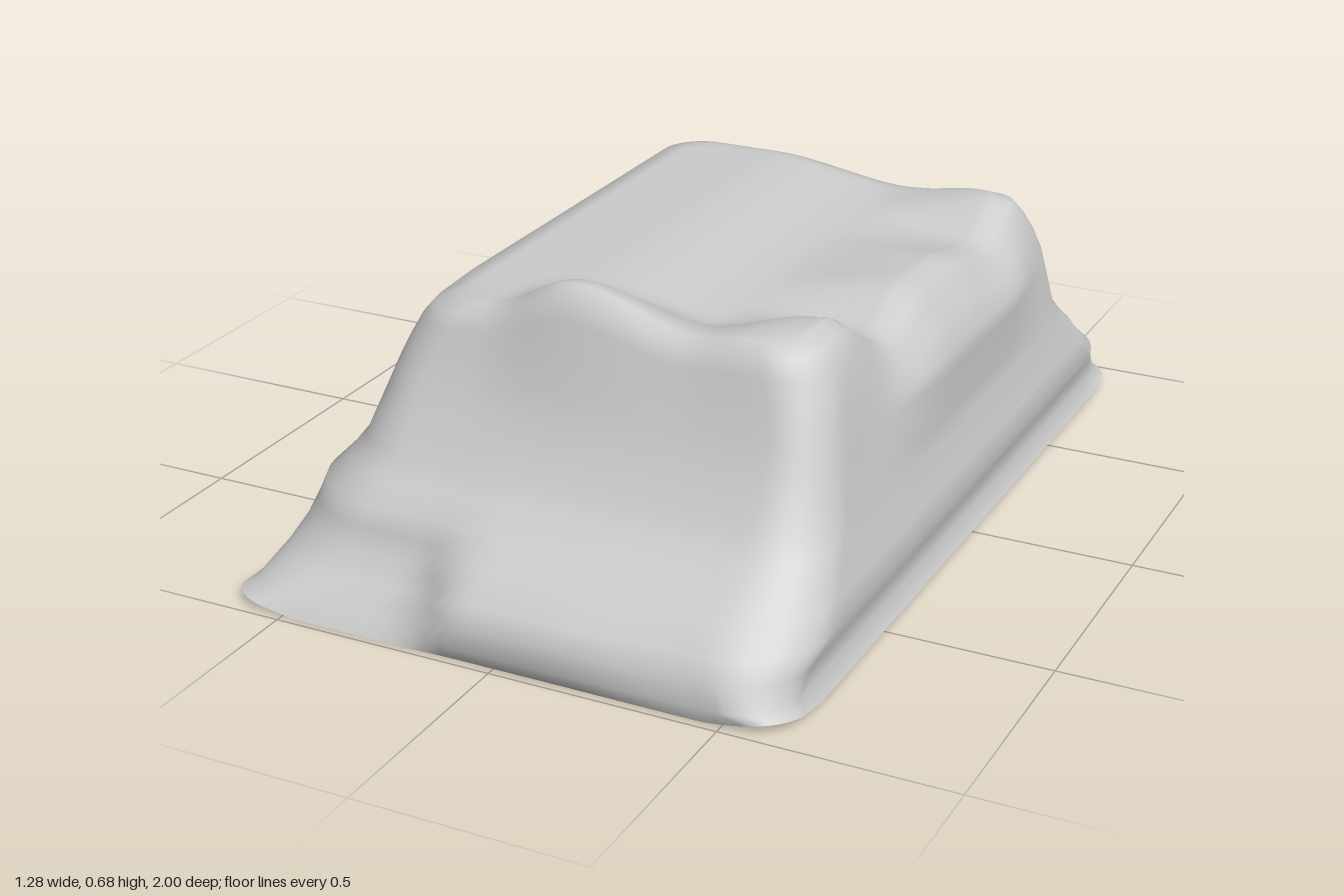
import * as THREE from 'three';

const { smoothstep, lerp } = THREE.MathUtils;

// Smooth height curve through [position, height] pairs
function curve(pairs) {
  return (p) => {
    if (p <= pairs[0][0]) return pairs[0][1];
    for (let i = 1; i < pairs.length; i++) {
      const [a, ha] = pairs[i - 1], [b, hb] = pairs[i];
      if (p <= b) return lerp(ha, hb, smoothstep(p, a, b));
    }
    return pairs[pairs.length - 1][1];
  };
}

// Top heights: plateau with a valley (by x), front edge (by x) and +x edge (by z)
const plateau = curve([[-0.12, 0.595], [0.23, 0.552]]);
const frontRim = curve([[-0.4, 0.585], [-0.22, 0.596], [-0.02, 0.678], [0.27, 0.61], [0.43, 0.638]]);
const sideRim = curve([[-0.64, 0.575], [-0.52, 0.59], [-0.35, 0.53], [-0.1, 0.573],
  [0.05, 0.577], [0.235, 0.53], [0.46, 0.637], [0.65, 0.62]]);

function topHeight(x, z) {
  const front = lerp(plateau(x), frontRim(x), smoothstep(z, 0.36, 0.585));
  return lerp(front, sideRim(z), smoothstep(x, 0.18, 0.47));
}

// Rounded rectangle as points running from +x towards +z; rL and rR round the -x and +x ends
function outline({ xL, xR, zF, zB, rL, rR }, arc = 10, side = 28) {
  const corners = [
    [xR - rR, zF - rR, rR], [-xL + rL, zF - rL, rL], [-xL + rL, -zB + rL, rL], [xR - rR, -zB + rR, rR],
  ];
  const pts = [];
  corners.forEach(([cx, cz, r], q) => {
    for (let i = 0; i <= arc; i++) {
      const a = (q + i / arc) * Math.PI / 2;
      pts.push([cx + r * Math.cos(a), cz + r * Math.sin(a)]);
    }
    const [x0, z0] = pts[pts.length - 1];
    const [nx, nz, nr] = corners[(q + 1) % 4];
    const a = (q + 1) * Math.PI / 2;
    for (let i = 1; i < side; i++) {
      pts.push([lerp(x0, nx + nr * Math.cos(a), i / side), lerp(z0, nz + nr * Math.sin(a), i / side)]);
    }
  });
  return pts;
}

// Wall sections: y, -x, +x, front, back, inset depth of the stepped ends, -x radius, +x radius
const sections = [
  [0, 0.64, 0.635, 0.98, 0.98, 0.985, 0.09, 0.09],
  [0.035, 0.618, 0.615, 1.0, 1.0, 0.96, 0.10, 0.12],
  [0.08, 0.598, 0.618, 0.995, 0.995, 0.905, 0.14, 0.15],
  [0.125, 0.583, 0.635, 0.98, 0.98, 0.865, 0.17, 0.19],
  [0.17, 0.573, 0.622, 0.915, 0.915, 0.85, 0.19, 0.19],
  [0.215, 0.561, 0.612, 0.85, 0.85, 0.835, 0.19, 0.17],
  [0.255, 0.525, 0.602, 0.795, 0.785, 0.785, 0.17, 0.15],
  [0.30, 0.49, 0.592, 0.75, 0.735, 0.74, 0.14, 0.14],
  [0.40, 0.457, 0.572, 0.695, 0.70, 0.70, 0.12, 0.12],
  [0.45, 0.441, 0.562, 0.672, 0.685, 0.68, 0.11, 0.11],
  [0.50, 0.425, 0.548, 0.65, 0.67, 0.66, 0.11, 0.11],
  [0.55, 0.403, 0.532, 0.632, 0.643, 0.64, 0.11, 0.11],
  [0.585, 0.375, 0.51, 0.617, 0.615, 0.62, 0.10, 0.10],
  [0.60, 0.33, 0.47, 0.588, 0.57, 0.58, 0.09, 0.09],
];

function wallRing([y, xL, xR, zF, zB, zStep, rL, rR]) {
  return outline({ xL, xR, zF, zB, rL, rR }).map(([x, z]) => {
    // The flange is stepped in at the -x end, bulges in the middle and eases towards +x
    const depth = z > 0 ? zF : zB;
    const inset = 1 - smoothstep(x, -0.25, -0.08) + 0.2 * smoothstep(x, 0.1, 0.45);
    const outZ = y < 0.28 ? z * lerp(1, zStep / depth, inset) : z;
    // Full shoulder along the +x wall, reaching further at the back
    const fade = z > 0 ? smoothstep(z, 0.05, 0.45) : smoothstep(-z, 0.25, 0.68);
    const swell = 0.034 * Math.exp(-(((y - 0.44) / 0.085) ** 2));
    const outX = x + swell * (1 - fade) * smoothstep(x, 0.3, 0.5);
    // The upper wall stretches to meet the uneven rim
    let h = y;
    if (y > 0.4) h = 0.4 + (y - 0.4) / 0.2 * (topHeight(x, z) - 0.4);
    // Base corners lift slightly
    if (y === 0) h = 0.02 * smoothstep(Math.abs(x), 0.45, 0.61) * smoothstep(Math.abs(z), 0.8, 0.95);
    return [outX, h, outZ];
  });
}

function shellGeometry() {
  const rings = sections.map(wallRing);
  // Top surface: rings shrinking from the rim to the middle
  const rim = outline({ xL: 0.33, xR: 0.47, zF: 0.588, zB: 0.57, rL: 0.09, rR: 0.09 });
  const steps = 24;
  for (let k = steps - 1; k >= 0; k--) {
    const t = Math.max(k / steps, 0.001);
    rings.push(rim.map(([rx, rz]) => {
      const x = lerp(0.07, rx, t), z = lerp(0.009, rz, t);
      return [x, topHeight(x, z), z];
    }));
  }
  const n = rings[0].length;
  const index = [];
  for (let j = 0; j < rings.length - 1; j++) {
    for (let i = 0; i < n; i++) {
      const a = j * n + i, b = j * n + (i + 1) % n;
      index.push(a, a + n, b, b, a + n, b + n);
    }
  }
  const geometry = new THREE.BufferGeometry();
  geometry.setAttribute('position', new THREE.Float32BufferAttribute(rings.flat(2), 3));
  geometry.setIndex(index);
  geometry.computeVertexNormals();
  return geometry;
}

export function createModel() {
  const group = new THREE.Group();
  group.name = 'moundShell';
  // Open-bottomed shell, seen from inside as well
  const shell = new THREE.Mesh(
    shellGeometry(),
    new THREE.MeshStandardMaterial({ color: 0xcccccc, side: THREE.DoubleSide }),
  );
  shell.name = 'shell';
  group.add(shell);
  return group;
}
